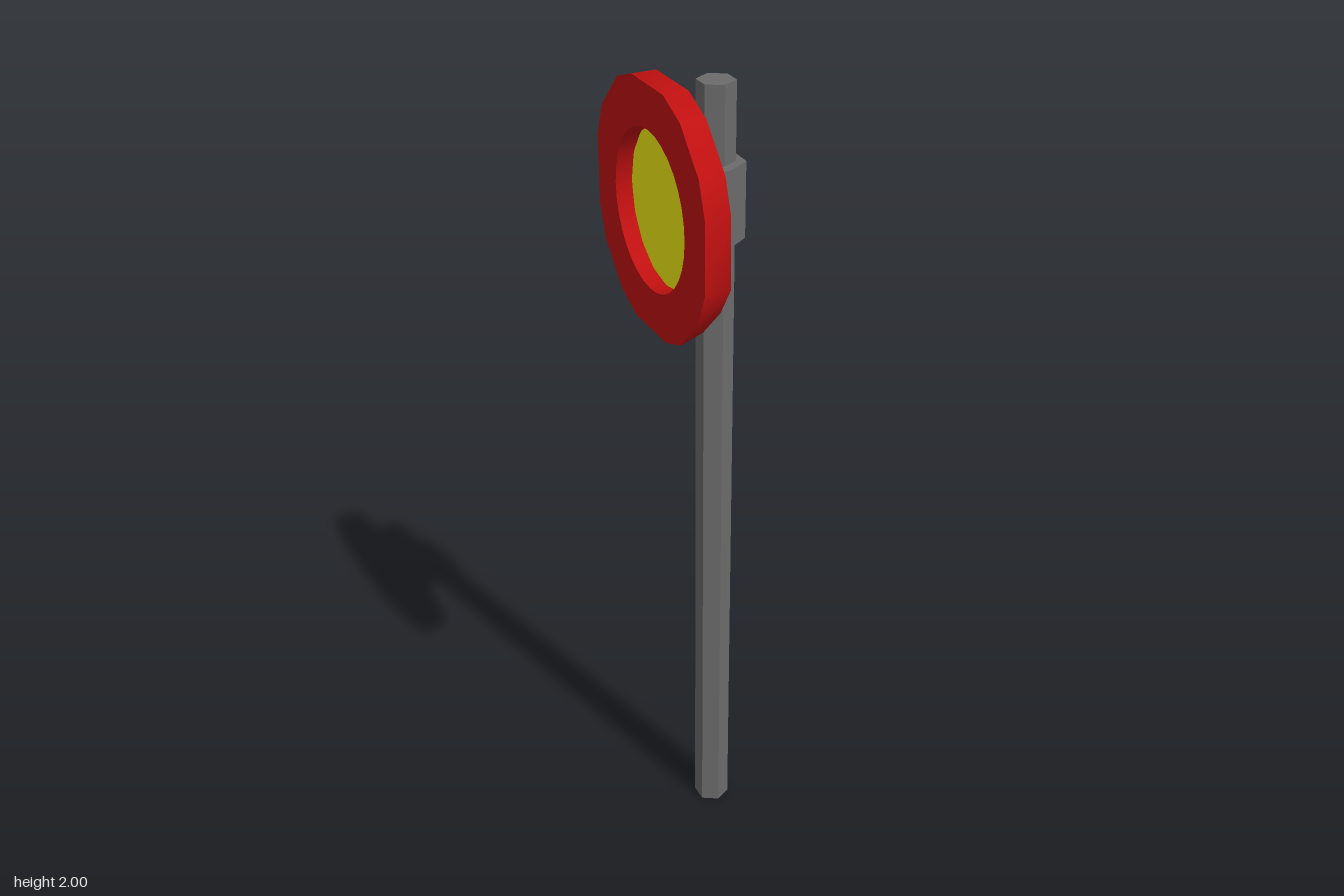
import * as THREE from 'three';
import { toCreasedNormals } from 'three/addons/utils/BufferGeometryUtils.js';

const GREY = 0x6b6b6b, RED = 0xc01010, YELLOW = 0xf0ea14;
const FRONT_X = -0.11, BACK_X = -0.05, DISC_Y = 1.72;

function addPart(group, name, geometry, color, flatShading = true) {
  const mesh = new THREE.Mesh(geometry, new THREE.MeshStandardMaterial({ color, flatShading }));
  mesh.name = name;
  group.add(mesh);
  return mesh;
}

// Sixteen-sided outline with alternating long and short edges
function discOutline() {
  const quarter = [[0.283, 0.08], [0.25, 0.162], [0.16, 0.252], [0.083, 0.28]];
  const points = [];
  for (let q = 0; q < 4; q++) {
    for (const [u, v] of quarter) {
      points.push(new THREE.Vector2(u, v).rotateAround(new THREE.Vector2(), q * Math.PI / 2));
    }
  }
  return points;
}

// Pull the lower corner of the back edge slightly inward
function chamferBack(geometry, minDepth) {
  const p = geometry.attributes.position;
  for (let i = 0; i < p.count; i++) {
    const u = p.getX(i), v = p.getY(i);
    if (p.getZ(i) >= minDepth && u < -0.05 && v < -0.1 && Math.hypot(u, v) > 0.25) {
      p.setXY(i, u * 0.94, v * 0.94);
    }
  }
  return geometry;
}

export function createModel() {
  const group = new THREE.Group();
  group.name = 'signalPost';

  // Hexagonal pole
  const pole = addPart(group, 'pole', new THREE.CylinderGeometry(0.044, 0.044, 1.99, 6), GREY);
  pole.position.set(0.05, 0.995, 0);

  // Clamp joining the pole to the disc
  const clampShape = new THREE.Shape([
    [BACK_X, -0.062], [0.05, -0.071], [0.108, -0.033],
    [0.108, 0.033], [0.05, 0.071], [BACK_X, 0.062],
  ].map(([x, z]) => new THREE.Vector2(x, z)));
  const clampGeo = new THREE.ExtrudeGeometry(clampShape, { depth: 0.18, bevelEnabled: false });
  clampGeo.rotateX(-Math.PI / 2);
  addPart(group, 'clamp', clampGeo, GREY).position.y = 1.63;

  // Red rim with a round opening
  const rimShape = new THREE.Shape(discOutline());
  rimShape.holes.push(new THREE.Path().absarc(0, 0, 0.183, 0, Math.PI * 2, true));
  const depth = BACK_X - FRONT_X - 0.001;
  let rimGeo = new THREE.ExtrudeGeometry(rimShape, { depth, bevelEnabled: false, curveSegments: 16 });
  rimGeo = toCreasedNormals(chamferBack(rimGeo, 0.03), 0.7);
  rimGeo.rotateY(Math.PI / 2);
  addPart(group, 'rim', rimGeo, RED, false).position.set(FRONT_X, DISC_Y, 0);

  // Grey back plate
  const backGeo = chamferBack(new THREE.ShapeGeometry(new THREE.Shape(discOutline())), 0);
  backGeo.rotateY(Math.PI / 2);
  addPart(group, 'backPlate', backGeo, GREY).position.set(BACK_X, DISC_Y, 0);

  // Yellow panel recessed in the opening
  const panelGeo = new THREE.CircleGeometry(0.184, 16);
  panelGeo.rotateY(-Math.PI / 2);
  addPart(group, 'panel', panelGeo, YELLOW).position.set(-0.07, DISC_Y, 0);

  return group;
}
